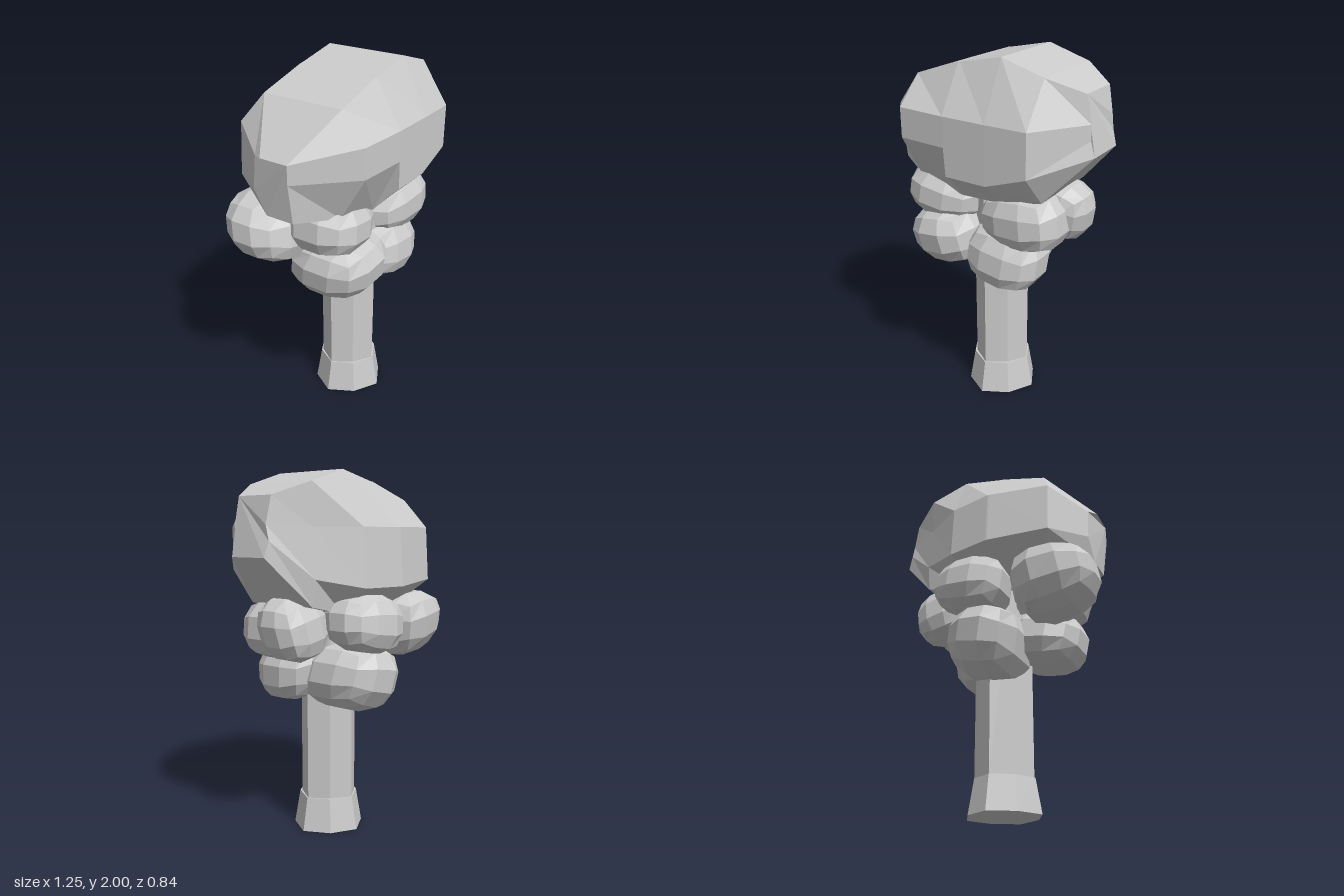
import * as THREE from 'three';

const material = new THREE.MeshStandardMaterial({ color: 0xcccccc, flatShading: true });

function addMesh(group, name, geometry) {
  const mesh = new THREE.Mesh(geometry, material);
  mesh.name = name;
  group.add(mesh);
  return mesh;
}

// Eight-sided trunk piece whose diagonal corners are drawn in by a ratio
function trunkGeometry(topRadius, bottomRadius, height, diagonal) {
  const geometry = new THREE.CylinderGeometry(topRadius, bottomRadius, height, 8);
  const pos = geometry.attributes.position;
  for (let i = 0; i < pos.count; i++) {
    const x = pos.getX(i), z = pos.getZ(i);
    if (Math.abs(x * z) > 1e-4) {
      pos.setX(i, x * diagonal);
      pos.setZ(i, z * diagonal);
    }
  }
  geometry.computeVertexNormals();
  return geometry;
}

// Chunky leaf clump: a subdivided cube rounded towards an ellipsoid, tapered and sheared
function clumpGeometry(rx, ry, rz, seed) {
  const geometry = new THREE.BoxGeometry(2, 2, 2, 3, 3, 3);
  const pos = geometry.attributes.position;
  const v = new THREE.Vector3();
  const taper = 0.14 * Math.sin(seed * 2.4 + 1);
  const shear = 0.15 * Math.sin(seed * 1.7);
  const p = 2.5;
  for (let i = 0; i < pos.count; i++) {
    v.fromBufferAttribute(pos, i);
    const len = (Math.abs(v.x) ** p + Math.abs(v.y) ** p + Math.abs(v.z) ** p) ** (1 / p);
    v.multiplyScalar(1.03 / len);
    const scale = 1 + taper * v.x;
    pos.setXYZ(i, v.x * rx, v.y * scale * ry, (v.z * scale + shear * v.y) * rz);
  }
  geometry.computeVertexNormals();
  return geometry;
}

// Crown: eight-sided cross-sections running along x
function crownGeometry() {
  // x, shift of top/bottom/back, y top/upper/lower front/lower back/bottom, z top front/front/top back/back
  const sections = [
    [-0.6, 0, 0.03, 0.035, 1.64, 1.63, 1.54, 1.45, 1.33, 0.13, 0.13, -0.03, -0.1],
    [-0.36, 0.01, 0, -0.05, 1.86, 1.71, 1.55, 1.42, 1.31, 0.26, 0.4, -0.2, -0.32],
    [-0.08, 0, 0, 0, 1.95, 1.71, 1.55, 1.4, 1.25, 0.27, 0.415, -0.18, -0.38],
    [-0.07, 0, 0, 0, 1.95, 1.71, 1.4, 1.4, 1.25, 0.27, 0.415, -0.18, -0.38],
    [0.17, 0, 0, 0, 2.0, 1.71, 1.4, 1.4, 1.26, 0.27, 0.415, -0.18, -0.33],
    [0.4, 0, 0, 0, 1.93, 1.71, 1.48, 1.45, 1.31, 0.26, 0.41, -0.18, -0.19],
    [0.6, -0.03, 0.025, 0, 1.86, 1.72, 1.64, 1.64, 1.56, 0.16, 0.16, -0.07, -0.07],
  ];
  const vertices = [], index = [], n = 8;
  for (const [x, dt, db, dz, yt, yu, yl, ylb, yb, ztf, zf, ztb, zb] of sections) {
    vertices.push(
      x + dt, yt, ztf, x + dt, yt, ztb,
      x + dz, yu, zb + 0.01, x + dz, ylb, zb - 0.01,
      x + db, yb, ztb, x + db, yb, ztf,
      x, yl, zf, x, yu, zf,
    );
  }
  for (let s = 0; s < sections.length - 1; s++) {
    for (let k = 0; k < n; k++) {
      const a = s * n + k, b = s * n + (k + 1) % n;
      index.push(a, a + n, b, b, a + n, b + n);
    }
  }
  const last = (sections.length - 1) * n;
  for (let k = 1; k < n - 1; k++) {
    index.push(0, k, k + 1, last, last + k + 1, last + k);
  }
  const geometry = new THREE.BufferGeometry();
  geometry.setAttribute('position', new THREE.Float32BufferAttribute(vertices, 3));
  geometry.setIndex(index);
  const flat = geometry.toNonIndexed();
  flat.computeVertexNormals();
  return flat;
}

export function createModel() {
  const model = new THREE.Group();
  model.name = 'tree';

  // Trunk with a flared foot
  const foot = addMesh(model, 'trunkFoot', trunkGeometry(0.18, 0.215, 0.19, 0.91));
  foot.position.set(0.025, 0.095, 0.05);
  const trunk = addMesh(model, 'trunk', trunkGeometry(0.175, 0.175, 1.11, 0.87));
  trunk.position.set(0.025, 0.745, 0.048);

  addMesh(model, 'crown', crownGeometry());

  // Leaf clumps below the crown: name, centre, radii, tilt about z
  const clumps = [
    ['upperLeftClump', [0.24, 1.16, 0.15], [0.24, 0.16, 0.19], 0.1],
    ['outerLeftClump', [0.37, 1.19, -0.01], [0.17, 0.17, 0.16], -0.2],
    ['upperRightClump', [-0.25, 1.21, 0.12], [0.22, 0.15, 0.21], -0.15],
    ['outerRightClump', [-0.39, 1.17, -0.17], [0.23, 0.18, 0.21], -0.15],
    ['upperBackClump', [0.08, 1.21, -0.24], [0.21, 0.16, 0.18], 0.1],
    ['lowerRightClump', [-0.22, 0.97, 0.14], [0.21, 0.17, 0.25], 0.15],
    ['lowerLeftClump', [0.145, 0.93, 0.17], [0.22, 0.17, 0.18], -0.1],
    ['lowerBackClump', [0.04, 0.9, -0.1], [0.21, 0.19, 0.27], 0.2],
  ];
  clumps.forEach(([name, centre, radii, tilt], i) => {
    const clump = addMesh(model, name, clumpGeometry(...radii, i));
    clump.position.set(...centre);
    clump.rotation.z = tilt;
  });

  return model;
}
